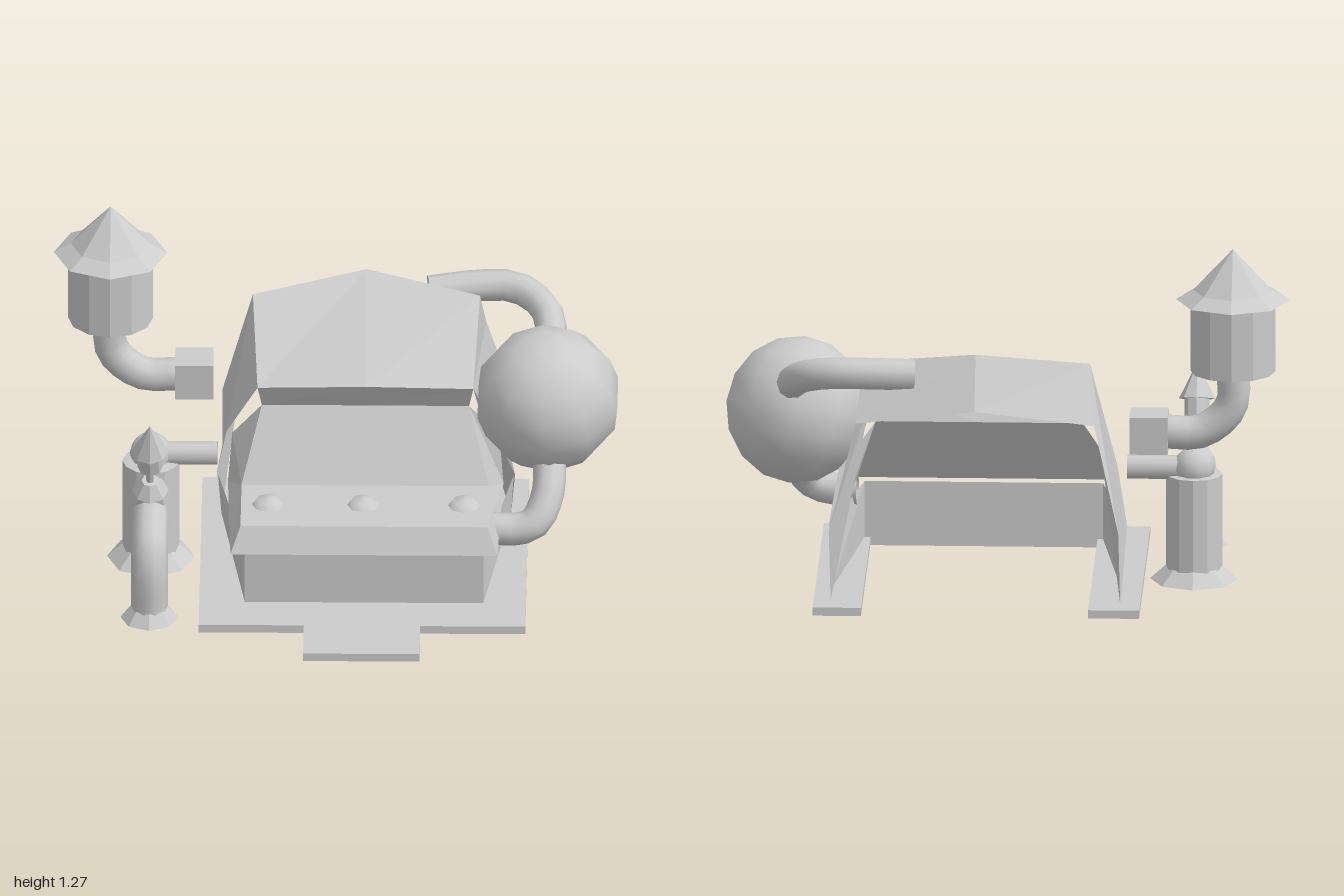
import * as THREE from 'three';

const grey = new THREE.MeshStandardMaterial({ color: 0xcccccc, side: THREE.DoubleSide });
const flat = new THREE.MeshStandardMaterial({ color: 0xcccccc, side: THREE.DoubleSide, flatShading: true });
const oneSided = new THREE.MeshStandardMaterial({ color: 0xcccccc });
const V = (p) => new THREE.Vector3(...p);
const mirror = (p) => [0.2 - p[0], p[1], p[2]]; // hut symmetry plane is x = 0.1

function add(parent, name, geometry, material, position = [0, 0, 0]) {
  const mesh = new THREE.Mesh(geometry, material);
  mesh.name = name;
  mesh.position.set(...position);
  parent.add(mesh);
  return mesh;
}

// thin sheet from a convex outline, fanned from its first corner
function sheet(parent, name, points) {
  const pos = [];
  for (let i = 1; i < points.length - 1; i++) pos.push(...points[0], ...points[i], ...points[i + 1]);
  const g = new THREE.BufferGeometry();
  g.setAttribute('position', new THREE.Float32BufferAttribute(pos, 3));
  g.computeVertexNormals();
  return add(parent, name, g, flat);
}

// strips between successive half rows, each mirrored across the hut
function symmetricStrips(parent, name, rows) {
  for (let i = 0; i < rows.length - 1; i++) {
    const quad = [rows[i][0], rows[i][1], rows[i + 1][1], rows[i + 1][0]];
    sheet(parent, name, quad);
    sheet(parent, name, quad.map(mirror).reverse());
  }
}

function bothSides(parent, name, points) {
  sheet(parent, name, points);
  sheet(parent, name, points.map(mirror).reverse());
}

function pipe(parent, name, points, radius) {
  const curve = new THREE.CatmullRomCurve3(points.map(V), false, 'centripetal');
  return add(parent, name, new THREE.TubeGeometry(curve, 10, radius, 10), grey);
}

function lathe(parent, name, profile, position, sides = 8, material = flat) {
  const g = new THREE.LatheGeometry(profile.map((p) => new THREE.Vector2(...p)), sides);
  return add(parent, name, g, material, position);
}

function createHut() {
  const hut = new THREE.Group();
  hut.name = 'hut';

  // U-shaped ground plate with a front step
  const outline = [[-0.48, 0.6], [-0.48, -0.48], [-0.11, -0.48], [-0.11, -0.685], [0.3, -0.685], [0.3, -0.48],
    [0.67, -0.48], [0.67, 0.6], [0.5, 0.6], [0.5, -0.31], [-0.3, -0.31], [-0.3, 0.6]];
  const plate = new THREE.ExtrudeGeometry(new THREE.Shape(outline.map((p) => new THREE.Vector2(...p))),
    { depth: 0.03, bevelEnabled: false });
  plate.rotateX(-Math.PI / 2);
  add(hut, 'groundPlate', plate, flat);

  // low walls, flaring towards the back
  const fl = [-0.32, 0.03, 0.31], fh = [-0.32, 0.235, 0.31];
  sheet(hut, 'frontWall', [fl, mirror(fl), mirror(fh), fh]);
  bothSides(hut, 'sideWall', [fl, fh, [-0.42, 0.235, -0.25], [-0.41, 0.03, -0.34]]);

  // console: lip, shelf, slanted windscreen and the soffit under the roof
  symmetricStrips(hut, 'console', [
    [[-0.37, 0.245, 0.355], [0.1, 0.245, 0.355]],
    [[-0.335, 0.335, 0.31], [0.1, 0.335, 0.31]],
    [[-0.335, 0.335, 0.01], [0.1, 0.335, 0.01]],
    [[-0.265, 0.58, -0.13], [0.1, 0.58, -0.13]],
    [[-0.28, 0.67, -0.09], [0.1, 0.69, -0.065]],
  ]);
  bothSides(hut, 'consoleLip', [[-0.37, 0.245, 0.355], [-0.335, 0.335, 0.31],
    [-0.335, 0.335, 0.01], [-0.385, 0.245, -0.18]]);
  bothSides(hut, 'consoleCheek', [[-0.335, 0.335, 0.01], [-0.265, 0.58, -0.13],
    [-0.37, 0.44, -0.18], [-0.385, 0.245, -0.18]]);
  for (const x of [-0.24, 0.095, 0.45]) {
    lathe(hut, 'knob', [[0.058, 0], [0.04, 0.022], [0, 0.03]], [x, 0.333, 0.15], 8, grey);
  }

  // folded roof and the side wings carrying it
  const front = [-0.28, 0.67, -0.09], ridge = [-0.3, 0.875, -0.4], back = [-0.32, 0.69, -0.55];
  symmetricStrips(hut, 'roof', [
    [front, [0.1, 0.69, -0.065]], [ridge, [0.1, 0.93, -0.49]], [back, [0.1, 0.755, -0.61]],
  ]);
  bothSides(hut, 'wing', [ridge, back, [-0.41, 0.335, -0.69], [-0.41, 0.03, -0.51],
    [-0.41, 0.03, -0.34], [-0.425, 0.24, -0.25], [-0.39, 0.44, -0.19], front]);
  return hut;
}

function createTank() {
  const tank = new THREE.Group();
  tank.name = 'tank';
  const ball = add(tank, 'tankBall', new THREE.SphereGeometry(0.26, 10, 8), grey, [0.742, 0.618, -0.122]);
  ball.rotation.set(0.3, 0.3, 0.1);
  pipe(tank, 'lowerPipe', [[0.75, 0.45, 0.01], [0.745, 0.36, 0.1], [0.7, 0.275, 0.16],
    [0.64, 0.25, 0.165], [0.54, 0.25, 0.16]], 0.058);
  pipe(tank, 'upperPipe', [[0.745, 0.72, -0.22], [0.745, 0.8, -0.38], [0.69, 0.84, -0.46],
    [0.61, 0.86, -0.5], [0.48, 0.86, -0.5], [0.32, 0.85, -0.475]], 0.056);
  return tank;
}

function createChimney() {
  const chimney = new THREE.Group();
  chimney.name = 'chimney';
  const at = [-0.8, 0, -0.31];
  lathe(chimney, 'chimneyDrum', [[0, 0.83], [0.15, 0.83], [0.15, 1.1]], at, 12);
  lathe(chimney, 'chimneyCap', [[0.15, 1.09], [0.2, 1.09], [0.14, 1.125], [0, 1.275]], at);
  pipe(chimney, 'chimneyPipe', [[-0.8, 0.84, -0.31], [-0.8, 0.72, -0.31], [-0.765, 0.66, -0.31],
    [-0.68, 0.605, -0.31], [-0.56, 0.605, -0.31]], 0.06);
  // square socket, open on the side towards the hut
  const box = new THREE.BoxGeometry(0.135, 0.135, 0.135);
  box.setIndex([...box.index.array].slice(6));
  add(chimney, 'chimneySocket', box, oneSided, [-0.505, 0.605, -0.31]);
  return chimney;
}

function createPump() {
  const pump = new THREE.Group();
  pump.name = 'pump';
  const x = -0.655;
  // rear column with ball joint and outlet
  lathe(pump, 'columnFlange', [[0.155, 0], [0.1, 0.05]], [x, 0, -0.075]);
  lathe(pump, 'column', [[0.1, 0.04], [0.1, 0.385], [0.065, 0.39], [0.065, 0.42]], [x, 0, -0.075], 12);
  add(pump, 'ballJoint', new THREE.SphereGeometry(0.075, 10, 6), grey, [x, 0.41, -0.085]);
  pipe(pump, 'outlet', [[x, 0.41, -0.085], [-0.42, 0.41, -0.085]], 0.042);
  // front pipe bending down to the ground
  lathe(pump, 'pipeFlange', [[0.102, 0], [0.065, 0.045]], [x, 0, 0.37]);
  pipe(pump, 'frontPipe', [[x, 0.03, 0.37], [x, 0.2, 0.37], [x, 0.265, 0.34],
    [x, 0.295, 0.27], [x, 0.295, -0.06]], 0.065);

  // small tilted vent on top of the pipe
  const vent = new THREE.Group();
  vent.name = 'vent';
  vent.position.set(x, 0.3, 0.11);
  vent.rotation.x = 0.34;
  lathe(vent, 'ventFoot', [[0.075, 0.02], [0.065, 0.09], [0.03, 0.14], [0, 0.14]]);
  lathe(vent, 'ventStem', [[0.014, 0.1], [0.014, 0.22]]);
  lathe(vent, 'ventDrum', [[0, 0.21], [0.044, 0.21], [0.044, 0.31]]);
  lathe(vent, 'ventCap', [[0.04, 0.295], [0.064, 0.295], [0, 0.425]]);
  pump.add(vent);
  return pump;
}

export function createModel() {
  const model = new THREE.Group();
  model.name = 'model';
  model.add(createHut(), createTank(), createChimney(), createPump());
  return model;
}
